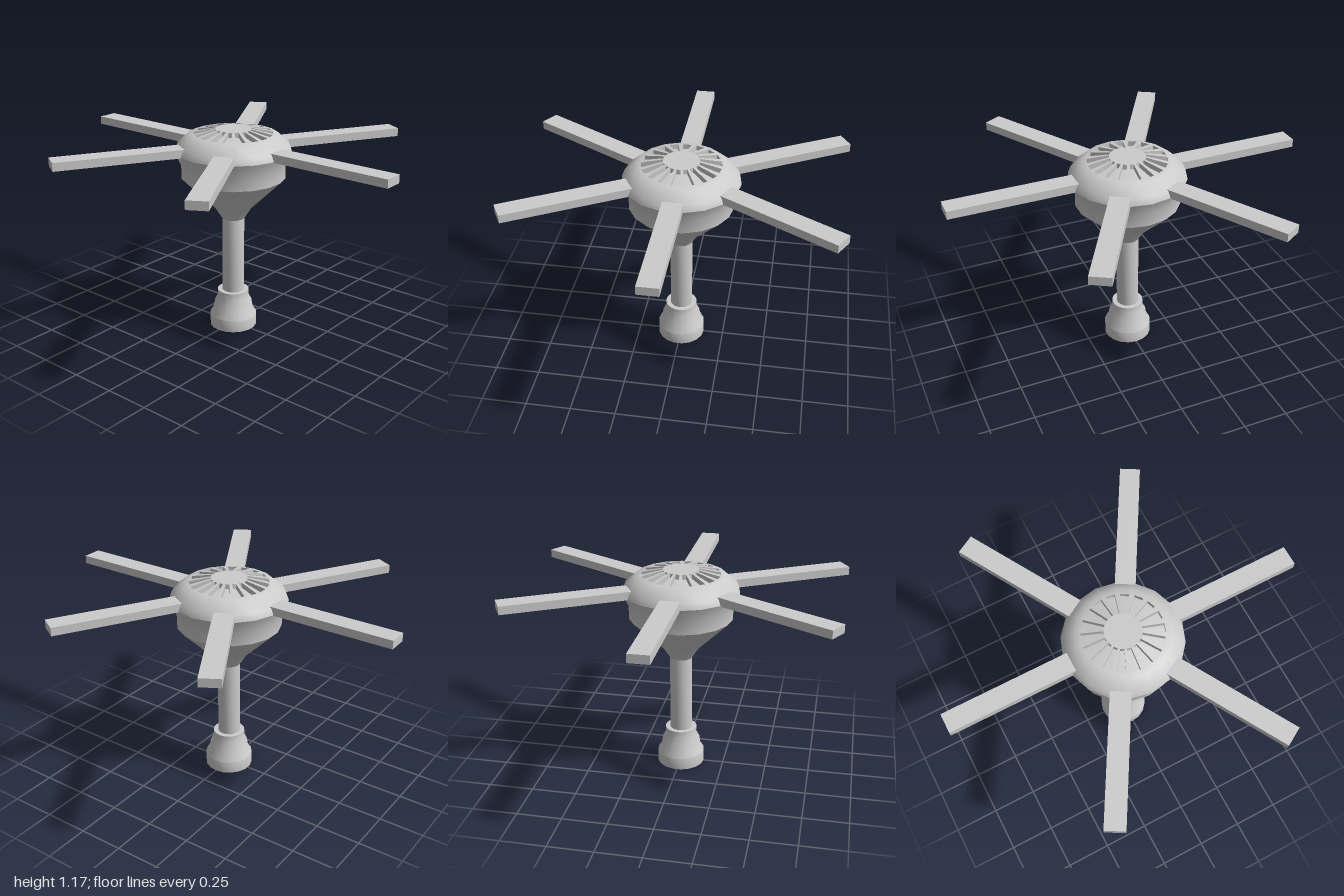
import * as THREE from 'three';
import { toCreasedNormals } from 'three/addons/utils/BufferGeometryUtils.js';

const SIDES = 18;
const STEP = (Math.PI * 2) / SIDES;
const material = new THREE.MeshStandardMaterial({ color: 0xcccccc });

function addMesh(parent, name, geometry) {
  const mesh = new THREE.Mesh(geometry, material);
  mesh.name = name;
  parent.add(mesh);
  return mesh;
}

// Turned part; corners of its outline lie on the x axis
function turned(profile) {
  const points = profile.map(([r, y]) => new THREE.Vector2(r, y));
  return toCreasedNormals(new THREE.LatheGeometry(points, SIDES, STEP / 2), 0.6);
}

// Height of the grille surface at a given radius
const grilleHeight = (r) => 1.175 - ((r - 0.1) / 0.12) * 0.025;

// Spoke between two vents: a box bent over a corner of the dome
function spokeGeometry() {
  const halfAngle = THREE.MathUtils.degToRad(3.6);
  const geometry = new THREE.BoxGeometry(1, 1, 2, 1, 1, 2);
  const p = geometry.attributes.position;
  for (let i = 0; i < p.count; i++) {
    const corner = p.getX(i) > 0 ? 0.22 : 0.1;
    const angle = p.getZ(i) * halfAngle;
    const r = (corner * Math.cos(STEP / 2)) / Math.cos(STEP / 2 - Math.abs(angle));
    const y = grilleHeight(corner) - (p.getY(i) > 0 ? 0 : 0.03);
    p.setXYZ(i, r * Math.cos(angle), y, r * Math.sin(angle));
  }
  return toCreasedNormals(geometry, 0.6);
}

export function createModel() {
  const model = new THREE.Group();
  model.name = 'ceilingFan';

  // Stepped mount
  addMesh(model, 'mount', turned([
    [0, 0], [0.135, 0], [0.135, 0.07], [0.115, 0.1], [0.108, 0.145],
    [0.09, 0.18], [0.09, 0.22], [0.06, 0.22],
  ]));

  // Rod
  addMesh(model, 'rod', turned([[0.063, 0.2], [0.063, 0.67]]));

  // Motor housing: cone, drum, flare, dome and the rim of the grille
  addMesh(model, 'motorHousing', turned([
    [0.063, 0.66], [0.105, 0.725], [0.29, 0.905], [0.29, 0.98], [0.325, 1.055],
    [0.311, 1.09], [0.25, 1.143], [0.22, 1.15], [0.22, 1.122],
  ]));

  // Vented grille: sunken floor, raised hub and spokes
  const grille = new THREE.Group();
  grille.name = 'grille';
  model.add(grille);
  addMesh(grille, 'grilleFloor', turned([[0.22, 1.122], [0.1, 1.147]]));
  addMesh(grille, 'grilleHub', turned([[0.1, 1.147], [0.1, 1.175], [0, 1.175]]));
  const spoke = spokeGeometry();
  for (let i = 0; i < SIDES; i++) {
    addMesh(grille, 'grilleSpoke', spoke).rotation.y = i * STEP;
  }

  // Six blades, one pointing straight to the front
  const blade = new THREE.BoxGeometry(0.11, 0.046, 0.75).translate(0, 1.075, 0.625);
  for (let i = 0; i < 6; i++) {
    addMesh(model, 'blade', blade).rotation.y = (i * Math.PI) / 3;
  }

  return model;
}
